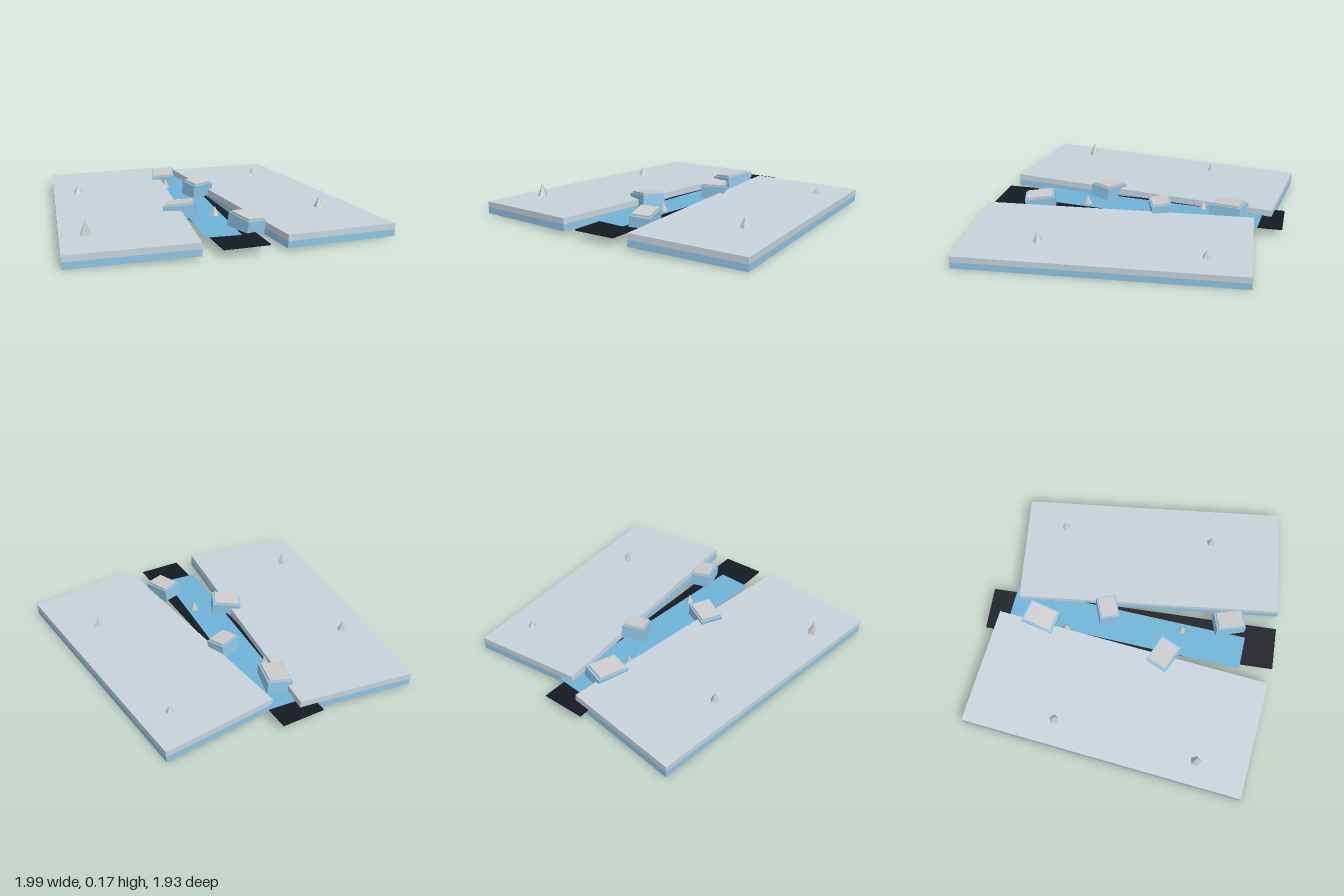
import * as THREE from 'three';

const mat = (color) => new THREE.MeshStandardMaterial({ color, flatShading: true });
const snow = mat(0xcccccc), sheetSnow = mat(0xc6d2da), ice = mat(0x8ec4e4);
const water = mat(0x6fb4d8), deep = mat(0x151922);

function box(name, w, h, d, y, material) {
  const mesh = new THREE.Mesh(new THREE.BoxGeometry(w, h, d), material);
  mesh.name = name;
  mesh.position.y = y;
  return mesh;
}

// Tilted sheet: an ice layer with a snow layer of the same footprint
function iceSheet(name, w, d, x, z, yaw, tilt) {
  const g = new THREE.Group();
  g.name = name;
  g.add(box('sheetIce', w, 0.042, d, -0.02, ice));
  g.add(box('sheetSnow', w, 0.038, d, 0.02, sheetSnow));
  g.position.set(x, 0.051, z);
  g.rotation.set(0, yaw, tilt);
  return g;
}

// Loose ice block with a smaller snow cap
function iceBlock([x, y, z, w, d, yaw, tiltX, tiltZ]) {
  const g = new THREE.Group();
  g.name = 'iceBlock';
  g.add(box('blockIce', w, 0.09, d, 0, ice));
  g.add(box('blockSnowCap', w * 0.86, 0.016, d * 0.86, 0.05, snow));
  g.position.set(x, y, z);
  // Tilt about the world axes after turning
  g.rotation.set(tiltX, yaw, tiltZ);
  return g;
}

function spike([x, base, z, r, h, yaw]) {
  const mesh = new THREE.Mesh(new THREE.ConeGeometry(r, h, 5), snow);
  mesh.name = 'snowSpike';
  mesh.position.set(x, base + h / 2, z);
  mesh.rotation.y = yaw;
  return mesh;
}

export function createModel() {
  const model = new THREE.Group();
  model.name = 'crackedIce';

  // Two sheets either side of the crack
  model.add(iceSheet('rightSheet', 0.763, 1.83, -0.53, -0.005, -0.095, 0.03));
  model.add(iceSheet('leftSheet', 0.735, 1.745, 0.53, 0.045, 0.115, -0.03));

  // Dark crack floor and the water lying on it
  const floor = box('crackFloor', 0.28, 0.008, 1.92, 0.055, deep);
  floor.position.x = -0.01;
  floor.rotation.y = 0.03;
  model.add(floor);
  const pool = box('water', 0.22, 0.002, 1.57, 0.059, water);
  pool.position.x = -0.01;
  pool.position.z = -0.03;
  pool.rotation.y = -0.05;
  model.add(pool);

  // x, y, z, width, depth, yaw, tiltX, tiltZ
  const blocks = [
    [-0.055, 0.08, -0.6, 0.155, 0.215, -0.24, 0.06, 0.1],
    [0.075, 0.104, -0.175, 0.155, 0.13, 0.37, 0.1, -0.04],
    [-0.165, 0.085, 0.25, 0.19, 0.15, -0.43, -0.04, 0.1],
    [0.132, 0.087, 0.635, 0.13, 0.195, 0.31, 0.09, -0.1],
  ];
  blocks.forEach((b) => model.add(iceBlock(b)));

  // x, base, z, radius, height, yaw
  const spikes = [
    [-0.815, 0.082, 0.56, 0.034, 0.088, 0.2],
    [-0.715, 0.084, -0.37, 0.03, 0.06, 0.5],
    [0.64, 0.084, -0.58, 0.029, 0.048, 0.9],
    [0.7, 0.084, 0.435, 0.033, 0.072, 0.4],
    [0.035, 0.045, 0.335, 0.034, 0.075, 0.8],
    [-0.085, 0.05, -0.425, 0.032, 0.075, 0.3],
  ];
  spikes.forEach((s) => model.add(spike(s)));
  return model;
}
